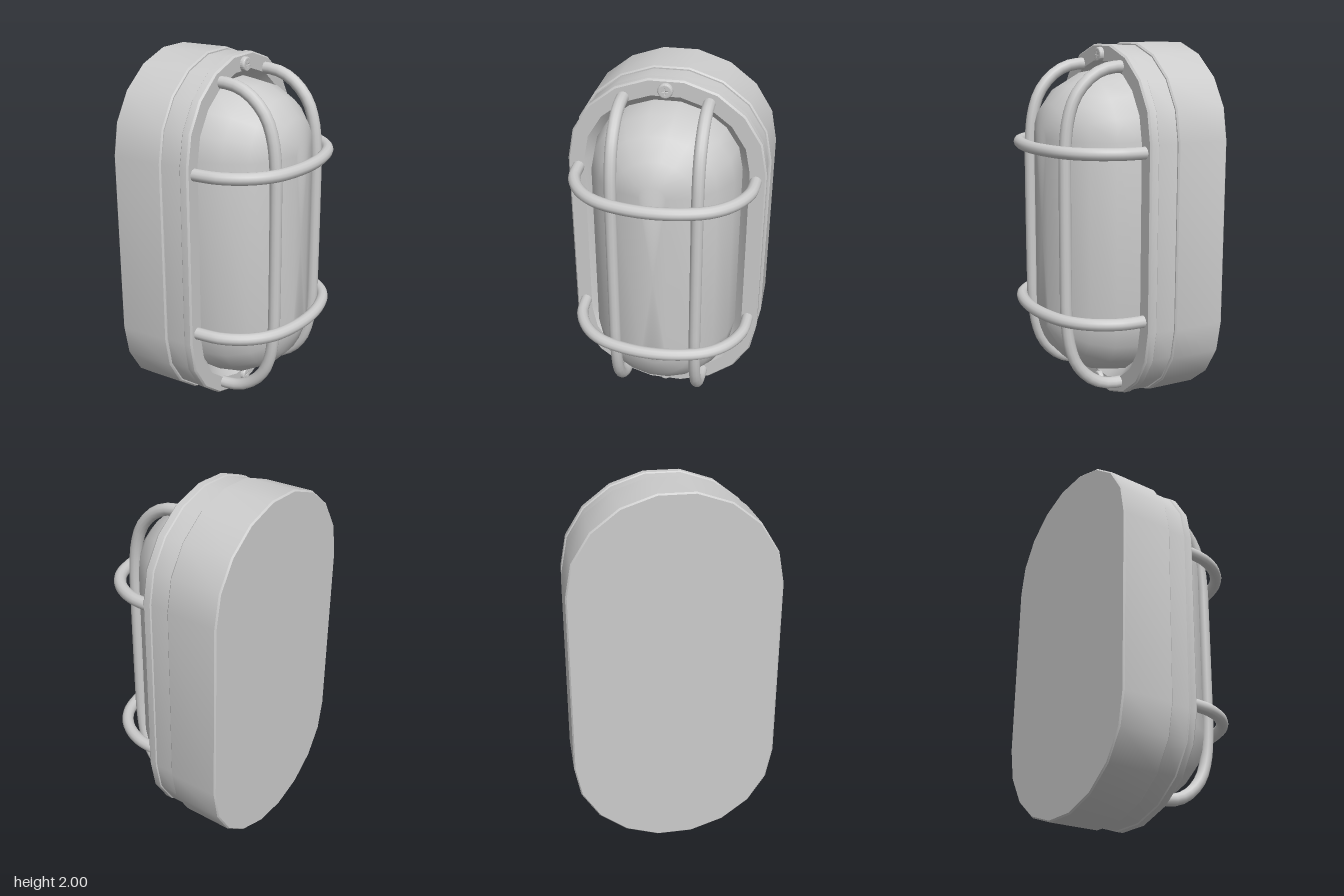
import * as THREE from 'three';
import { toCreasedNormals } from 'three/addons/utils/BufferGeometryUtils.js';

const material = new THREE.MeshStandardMaterial({ color: 0xcccccc });
const HALF_W = 0.553, END_H = 0.508, END_Y = 0.5;

function add(parent, name, geometry) {
  const mesh = new THREE.Mesh(geometry, material);
  mesh.name = name;
  parent.add(mesh);
  return mesh;
}

// Elongated outline: straight sides with a nine-sided arc at each end
function outline(x, rz, ry) {
  const points = [];
  for (let end = 0; end < 2; end++) {
    for (let i = 0; i <= 9; i++) {
      const a = (i / 9 + end) * Math.PI;
      const y = 1 + (end ? -END_Y : END_Y) + ry * Math.sin(a);
      points.push(new THREE.Vector3(x, y, rz * Math.cos(a)));
    }
  }
  return points;
}

// Skin a series of [x, halfWidth, endHeight] outlines, optionally capped
function loft(rings, capStart, capEnd, crease = 0.5) {
  const sections = rings.map(r => outline(...r));
  const n = sections[0].length, pos = [];
  const tri = (...v) => v.forEach(p => pos.push(p.x, p.y, p.z));
  for (let i = 0; i < sections.length - 1; i++) {
    for (let j = 0; j < n; j++) {
      const k = (j + 1) % n, s = sections[i], t = sections[i + 1];
      tri(s[j], t[j], s[k]);
      tri(s[k], t[j], t[k]);
    }
  }
  const first = sections[0], last = sections[sections.length - 1];
  for (let j = 0; j < n; j++) {
    const k = (j + 1) % n;
    if (capStart) tri(new THREE.Vector3(first[0].x, 1, 0), first[j], first[k]);
    if (capEnd) tri(new THREE.Vector3(last[0].x, 1, 0), last[k], last[j]);
  }
  const g = new THREE.BufferGeometry();
  g.setAttribute('position', new THREE.Float32BufferAttribute(pos, 3));
  return toCreasedNormals(g, crease);
}

// [x, inset from the outer outline] to a loft ring
const inset = ([x, o]) => [x, HALF_W - o, END_H - o];

// Round guard bar through half of its points, mirrored about the middle
function bar(half, place) {
  const pts = half.map(([x, d]) => place(x, d));
  const mirrored = half.filter(p => p[1] > 0).reverse().map(([x, d]) => place(x, -d));
  const curve = new THREE.CatmullRomCurve3([...pts, ...mirrored], false, 'centripetal');
  return new THREE.TubeGeometry(curve, 40, 0.033, 12);
}

function screw() {
  const group = new THREE.Group();
  const head = new THREE.Shape().absarc(0, 0, 0.032, 0, Math.PI * 2);
  // Cross-shaped drive recess
  const slot = new THREE.Path(), w = 0.005, l = 0.02;
  for (let i = 0; i < 4; i++) {
    const c = Math.cos(i * Math.PI / 2), s = Math.sin(i * Math.PI / 2);
    [[l, -w], [l, w], [w, w]].forEach(([u, v], j) => {
      const x = u * c - v * s, y = u * s + v * c;
      if (i + j === 0) slot.moveTo(x, y); else slot.lineTo(x, y);
    });
  }
  slot.closePath();
  head.holes.push(slot);
  const g = new THREE.ExtrudeGeometry(head, {
    depth: 0.012, bevelThickness: 0.012, bevelSize: 0.008, bevelOffset: 0,
    bevelSegments: 3, curveSegments: 12,
  });
  add(group, 'screwHead', g);
  add(group, 'screwRecessFloor', new THREE.CircleGeometry(0.03, 20)).position.z = 0.008;
  group.rotation.y = Math.PI / 2;
  return group;
}

export function createModel() {
  const model = new THREE.Group();
  model.name = 'bulkheadLamp';

  // Housing, seal and front bezel
  add(model, 'base', loft(
    [[-0.46, 0.008], [-0.452, 0], [-0.17, 0], [-0.162, 0.008]].map(inset), true, true));
  add(model, 'seal', loft([[-0.165, 0.015], [-0.05, 0.015]].map(inset)));
  add(model, 'bezel', loft(
    [[-0.053, 0.016], [-0.047, 0.009], [-0.01, 0.009], [0, 0.018], [0, 0.1], [-0.05, 0.143]].map(inset)));

  // Rounded lens
  const rings = [[-0.05, 0.41, 0.365]];
  for (let i = 0; i <= 4; i++) {
    const a = i * Math.PI / 9;
    rings.push([-0.04 + 0.41 * Math.sin(a), 0.41 * Math.cos(a), 0.365 * Math.cos(a)]);
  }
  add(model, 'lens', loft(rings, false, true, 0.7));

  // Wire guard: two upright and two cross bars
  const guard = new THREE.Group();
  guard.name = 'guard';
  model.add(guard);
  const upright = [[-0.02, 0.88], [0.05, 0.877], [0.12, 0.86], [0.2, 0.81], [0.27, 0.725],
    [0.31, 0.61], [0.328, 0.45], [0.33, 0.3]];
  const cross = [[-0.02, 0.487], [0.06, 0.484], [0.13, 0.475], [0.23, 0.433], [0.31, 0.37],
    [0.37, 0.285], [0.412, 0.15], [0.427, 0]];
  for (const s of [-1, 1]) {
    add(guard, 'uprightBar', bar(upright, (x, d) => new THREE.Vector3(x, 1 + d, s * 0.227)));
    add(guard, 'crossBar', bar(cross, (x, d) => new THREE.Vector3(x, 1.005 + s * 0.45, d)));

    // Bezel screws
    const fixing = screw();
    fixing.name = 'screw';
    fixing.position.set(0.001, 1 + s * 0.937, 0);
    model.add(fixing);
  }
  return model;
}
